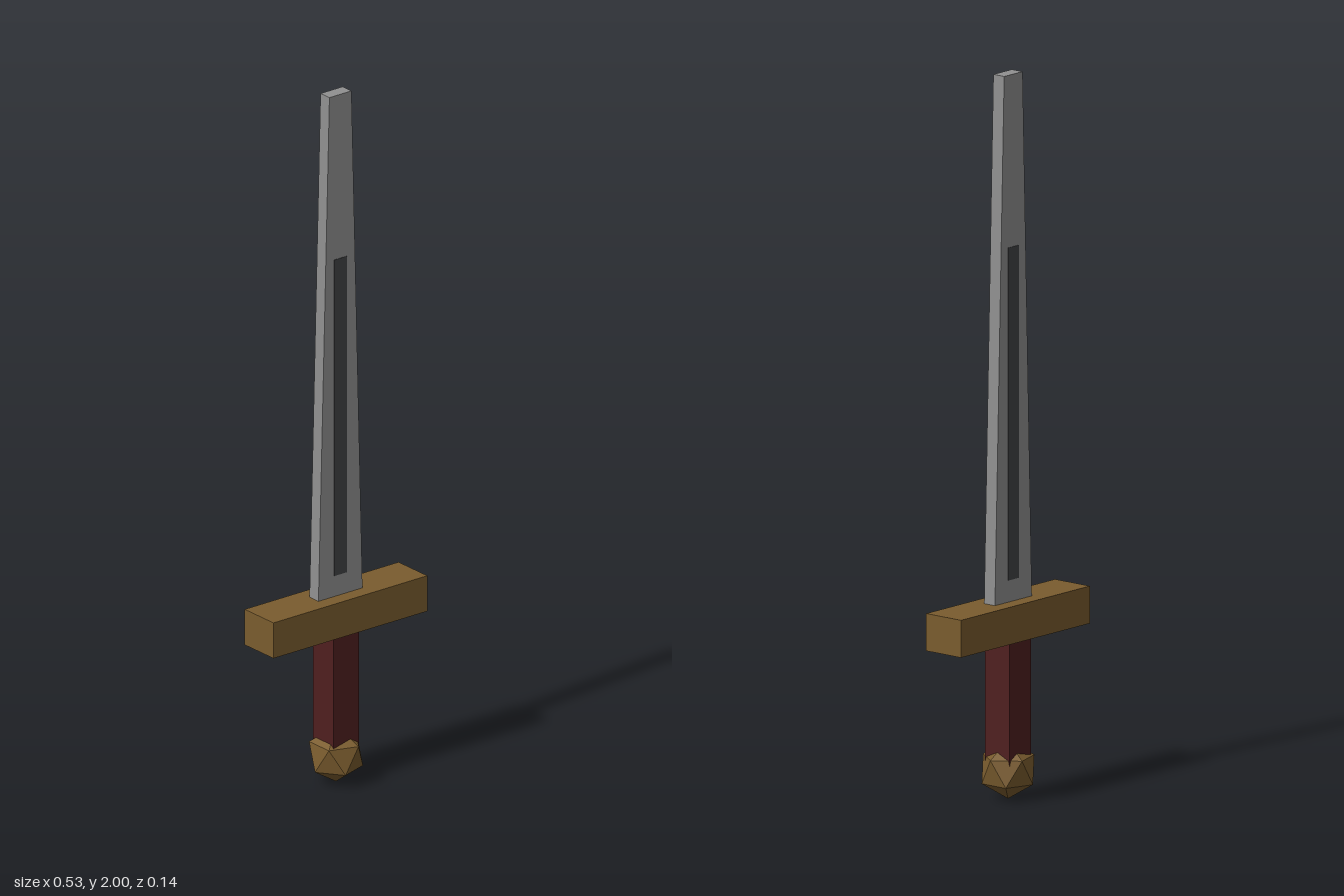
import * as THREE from 'three';

export function createModel() {
  const model = new THREE.Group();

  const add = (name, geometry, color, y) => {
    const material = new THREE.MeshStandardMaterial({ color, flatShading: true });
    const mesh = new THREE.Mesh(geometry, material);
    mesh.name = name;
    mesh.position.y = y;
    model.add(mesh);
  };
  const box = (name, w, bottom, top, d, color) =>
    add(name, new THREE.BoxGeometry(w, top - bottom, d), color, (bottom + top) / 2);

  const brass = 0x7a5c2e;

  // Blade: a flat bar narrowing to half its width at the blunt tip
  const bladeBottom = 0.54, bladeTop = 2;
  const blade = new THREE.BoxGeometry(0.152, bladeTop - bladeBottom, 0.038);
  const pos = blade.attributes.position;
  for (let i = 0; i < pos.count; i++) {
    if (pos.getY(i) > 0) pos.setX(i, pos.getX(i) * 0.5);
  }
  blade.computeVertexNormals();
  add('blade', blade, 0x909090, (bladeBottom + bladeTop) / 2);

  // Dark strip running through both faces of the blade
  box('fuller', 0.043, 0.608, 1.525, 0.041, 0x424345);

  // Crossguard and grip
  box('crossguard', 0.53, 0.445, 0.548, 0.123, brass);
  box('grip', 0.088, 0.08, 0.45, 0.088, 0x4f1f1f);

  // Pommel: icosahedron standing on one corner
  const r = 0.081;
  const pommel = new THREE.IcosahedronGeometry(r, 0);
  pommel.rotateX(-Math.atan((1 + Math.sqrt(5)) / 2));
  pommel.rotateY(Math.PI / 2);
  add('pommel', pommel, brass, r);

  return model;
}
